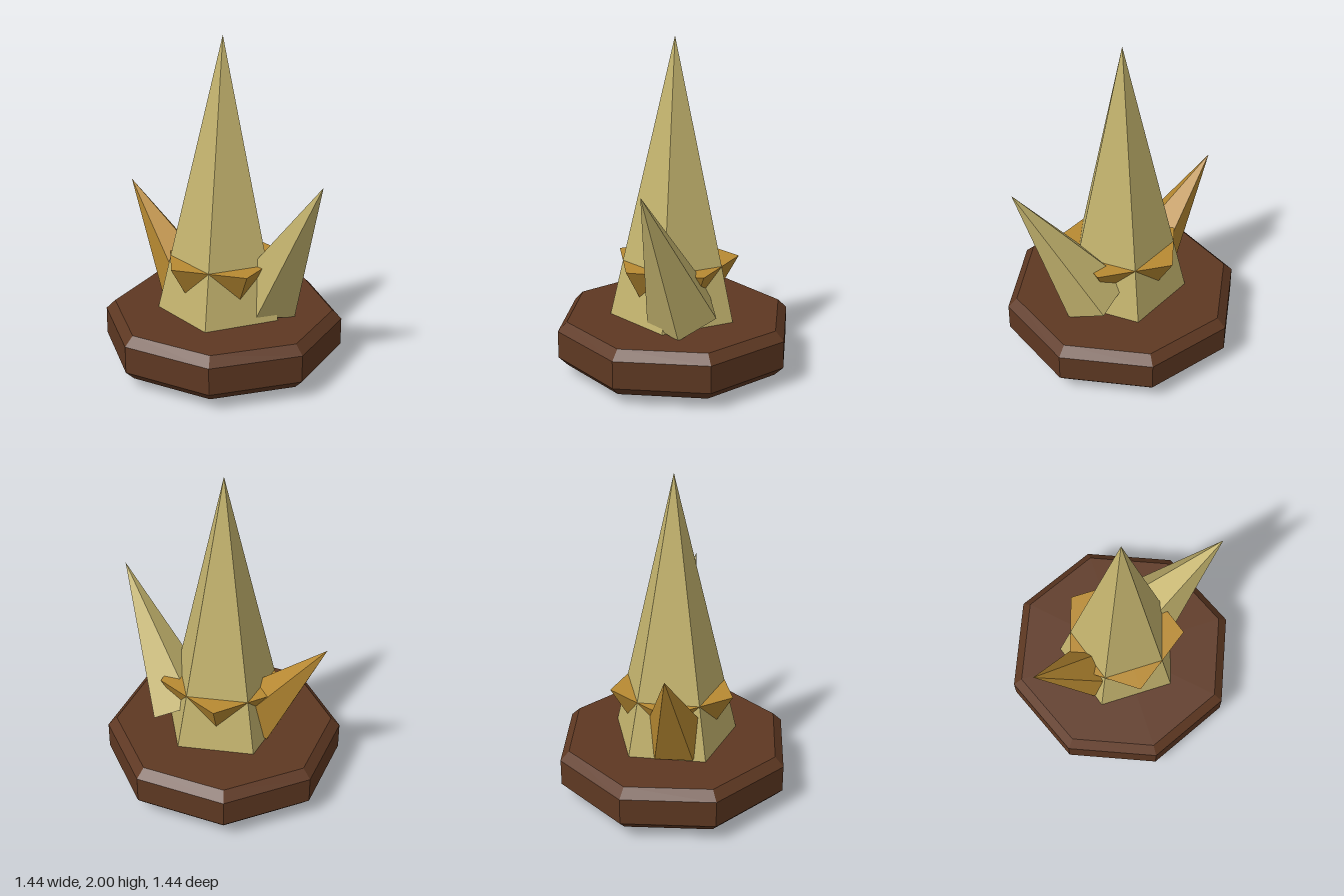
import * as THREE from 'three';

const paint = (color) => new THREE.MeshStandardMaterial({ color, flatShading: true });

// Five-sided spike from a base centre to an apex; one base corner points along `corner`
function spike(name, base, apex, radius, corner, material) {
  const from = new THREE.Vector3(...base);
  const axis = new THREE.Vector3(...apex).sub(from);
  const height = axis.length();
  axis.normalize();
  const z = new THREE.Vector3(...corner);
  z.addScaledVector(axis, -z.dot(axis)).normalize();
  const x = new THREE.Vector3().crossVectors(axis, z);
  const geometry = new THREE.ConeGeometry(radius, height, 5)
    .translate(0, height / 2, 0)
    .applyMatrix4(new THREE.Matrix4().makeBasis(x, axis, z).setPosition(from));
  const mesh = new THREE.Mesh(geometry, material);
  mesh.name = name;
  return mesh;
}

export function createModel() {
  const group = new THREE.Group();
  group.name = 'crystalCluster';
  const wood = paint(0x5e3822);
  const pale = paint(0xc4b46e);
  const gold = paint(0xb88a32);

  // Octagonal plinth with chamfered rims: [bottom radius, top radius, bottom y, top y]
  const plinth = new THREE.Group();
  plinth.name = 'plinth';
  const profile = [[0, 0.06], [0.665, 0.06], [0.72, 0.115], [0.72, 0.28], [0.665, 0.335], [0, 0.335]]
    .map(([r, y]) => new THREE.Vector2(r, y));
  const body = new THREE.Mesh(new THREE.LatheGeometry(profile, 8).toNonIndexed(), wood);
  body.geometry.computeVertexNormals();
  body.name = 'plinthBody';
  plinth.add(body);
  group.add(plinth);

  // Tall spike, with an inverted spike inside whose corners poke out and whose tip passes the plinth
  group.add(spike('mainCrystal', [0, 0.3, 0], [0, 2, 0], 0.398, [0, 0, -1], pale));
  group.add(spike('invertedCrystal', [0, 0.67, 0], [0, 0, 0], 0.386, [0, 0, 1], gold));

  // Leaning side spikes
  group.add(spike('leftCrystal', [0.21, 0.432, -0.169], [0.677, 1.24, -0.165], 0.218, [0.826, -0.473, -0.308], pale));
  group.add(spike('rightCrystal', [-0.18, 0.435, 0.098], [-0.605, 1.035, 0.23], 0.192, [0.749, 0.595, -0.272], gold));

  return group;
}
